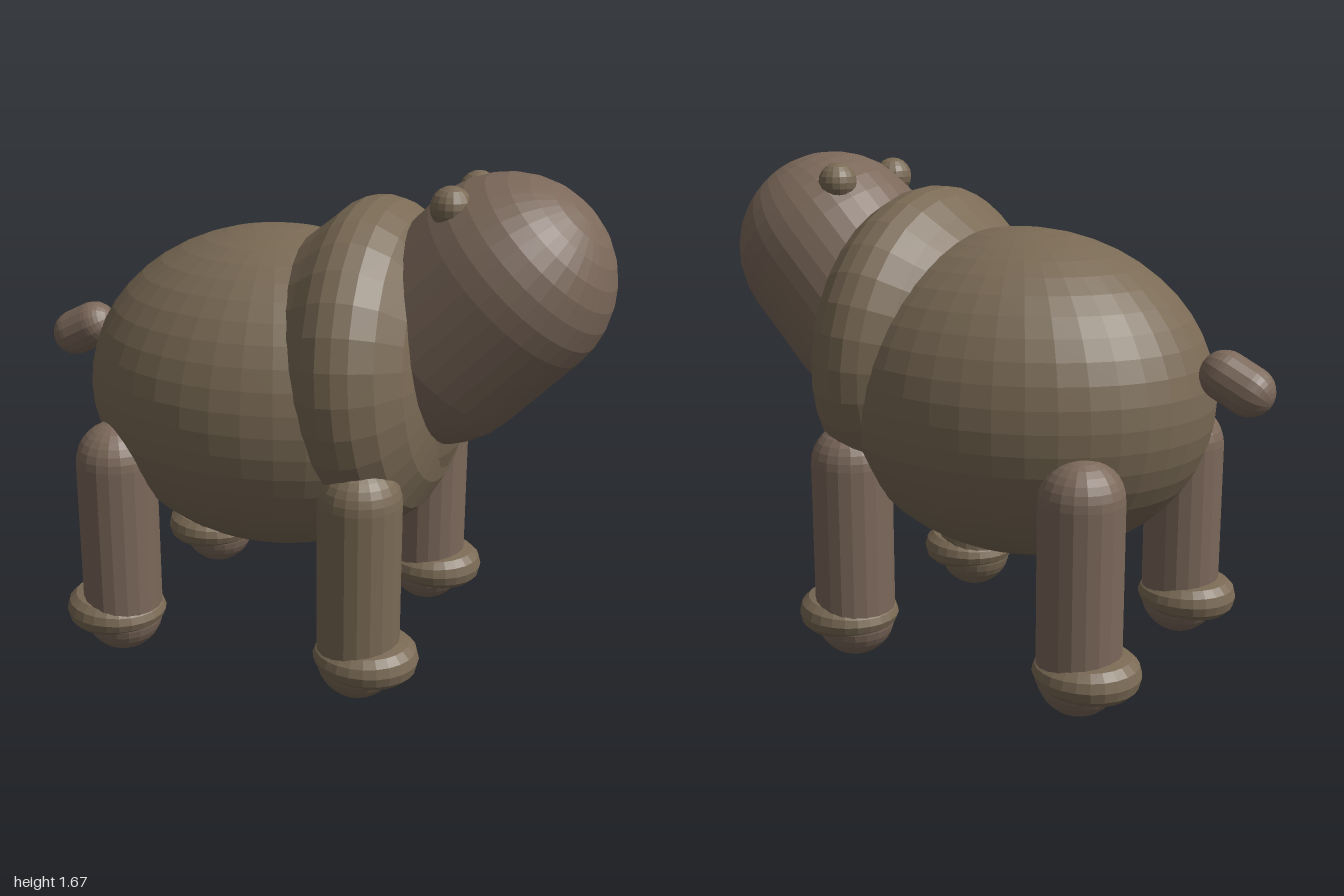
import * as THREE from 'three';

const olive = new THREE.MeshStandardMaterial({ color: 0x7a6a55, flatShading: true });
const brown = new THREE.MeshStandardMaterial({ color: 0x7b685a, flatShading: true });

export function createModel() {
  const model = new THREE.Group();

  function add(name, geometry, material, x, y, z) {
    const mesh = new THREE.Mesh(geometry, material);
    mesh.name = name;
    mesh.position.set(x, y, z);
    model.add(mesh);
    return mesh;
  }

  // Capsule whose round ends are centred on points a and b
  function capsule(name, a, b, radius, material, segments = 24) {
    const from = new THREE.Vector3(...a);
    const axis = new THREE.Vector3(...b).sub(from);
    const geometry = new THREE.CapsuleGeometry(radius, axis.length(), 8, segments);
    const mid = from.clone().addScaledVector(axis, 0.5);
    const mesh = add(name, geometry, material, mid.x, mid.y, mid.z);
    mesh.quaternion.setFromUnitVectors(new THREE.Vector3(0, 1, 0), axis.normalize());
    return mesh;
  }

  // Barrel-shaped body
  const body = add('body', new THREE.SphereGeometry(1, 40, 24), olive, -0.12, 0.905, 0);
  body.scale.set(0.66, 0.545, 0.555);

  // Shoulder hump: a domed disc lying along x, [radius, distance along the body]
  const profile = [
    [0, 0], [0.41, 0], [0.47, 0.09], [0.52, 0.16], [0.54, 0.21], [0.54, 0.26],
    [0.525, 0.31], [0.48, 0.375], [0.39, 0.435], [0.25, 0.48], [0, 0.5],
  ].map(([r, d]) => new THREE.Vector2(r, d - 0.25));
  const shoulders = new THREE.LatheGeometry(profile, 32);
  shoulders.rotateZ(-Math.PI / 2);
  add('shoulders', shoulders, olive, 0.265, 1.03, 0).rotation.z = 0.07;

  // Head slanting down into the chest, with ears
  capsule('head', [0.45, 1.12, 0], [0.655, 1.33, 0], 0.34, brown, 36);
  for (const side of [1, -1]) {
    add(side > 0 ? 'frontSideEar' : 'backSideEar',
      new THREE.SphereGeometry(0.065, 16, 10), olive, 0.513, 1.58, side * 0.16);
  }

  // Stubby tail
  capsule('tail', [-0.92, 1.0, 0], [-0.84, 1.04, 0], 0.08, brown, 16);

  // Hoof ring, thicker toward its outer end
  function hoofGeometry(direction) {
    const geometry = new THREE.TorusGeometry(0.1, 0.06, 12, 24);
    geometry.rotateX(Math.PI / 2);
    geometry.scale(1.09, 1, 1);
    const p = geometry.attributes.position;
    for (let i = 0; i < p.count; i++) {
      const t = direction * p.getX(i) / 0.175;
      p.setY(i, p.getY(i) * (0.95 + 0.2 * t));
    }
    geometry.computeVertexNormals();
    return geometry;
  }

  // Four legs with their hooves
  for (const [end, x, direction, top] of [['front', 0.313, 1, 0.682], ['rear', -0.552, -1, 0.695]]) {
    for (const side of [1, -1]) {
      const z = side * 0.38;
      const material = direction > 0 && side > 0 ? olive : brown;
      capsule(end + 'Leg', [x, 0.137, z], [x, top, z], 0.135, material, 20);
      add(end + 'Hoof', hoofGeometry(direction), olive, x + direction * 0.027, 0.147, z);
    }
  }

  return model;
}
